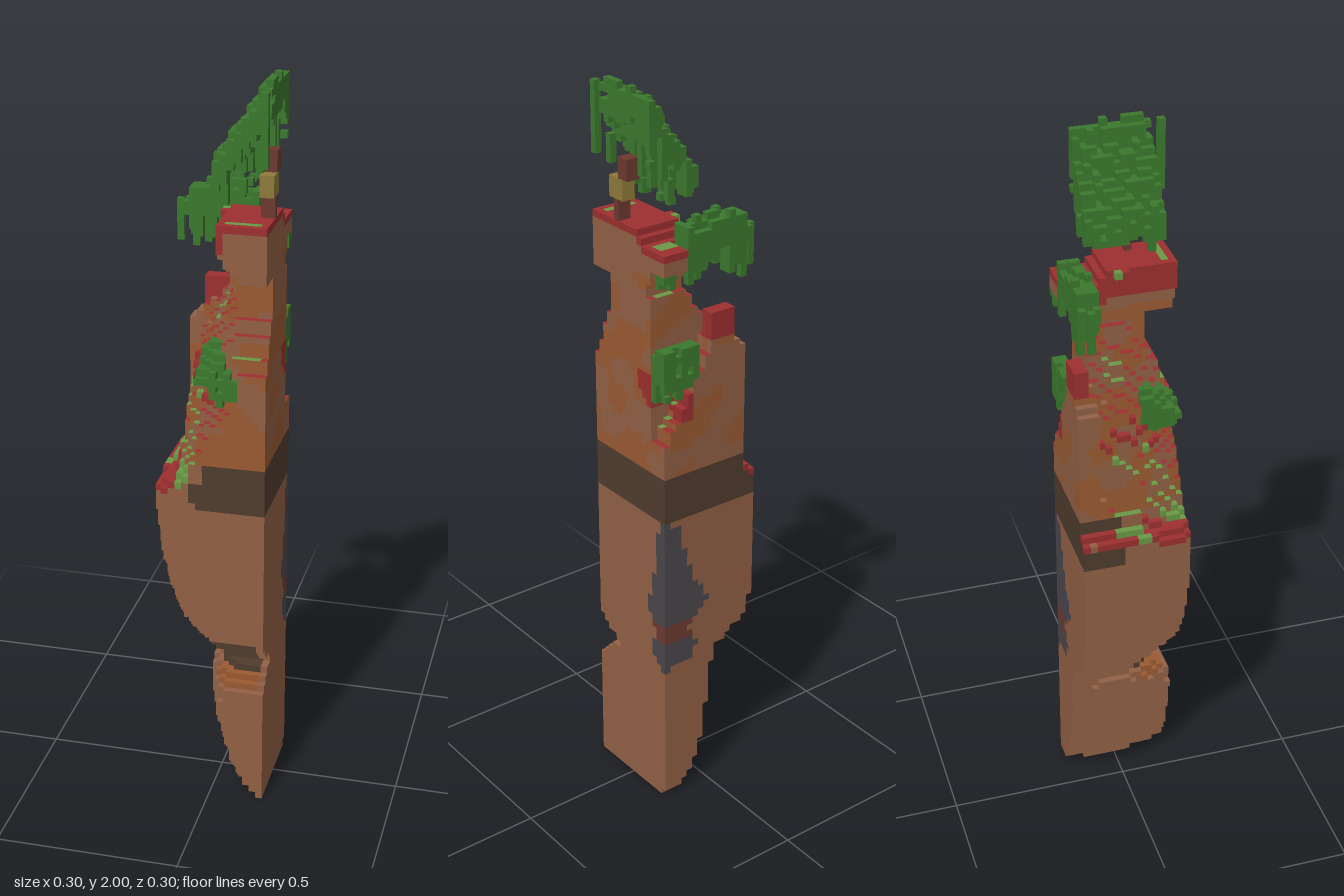
import * as THREE from 'three';

const N = 16, H = 108, S = 2 / H, HALF = N * S / 2;

const COLORS = {
  brownRock: 0x926045, orangeEarth: 0x9a5a32, darkStratum: 0x4f3c2e, greyStone: 0x4a474c,
  rustStone: 0x6c3b31, redTurf: 0x9c2f30, limeTurf: 0x699a44, foliage: 0x3b782d,
  trunkWood: 0x6c3930, oliveWood: 0x8f7a3a,
};

// Rock outline: height, then the -x boundary at the back, middle and front
const OUTLINE = [
  [0, .12, .10, .15], [.04, .08, .065, .10], [.08, .05, .03, .08], [.15, .03, .01, .06],
  [.22, .02, -.01, .04], [.30, .005, -.02, .03], [.35, 0, -.02, .05], [.38, -.01, 0, .10],
  [.41, -.02, 0, .12], [.44, -.03, -.01, .09], [.47, -.07, -.05, .03], [.50, -.135, -.10, -.01],
  [.55, -.14, -.125, -.05], [.62, -.15, -.14, -.085], [.75, -.16, -.16, -.12],
  [.87, -.16, -.16, -.135], [.925, -.16, -.16, -.135], [.955, -.12, -.12, -.07],
  [1.0, -.11, -.10, -.04], [1.1, -.11, -.09, .01], [1.15, -.11, -.08, .06], [1.2, -.11, -.07, .09],
  [1.27, -.105, -.045, .09], [1.32, -.09, -.02, .08], [1.38, -.06, .01, .09],
  [1.43, -.02, .035, .09], [1.5, .05, .05, .07], [1.56, .03, .02, .03], [1.7, .01, 0, .01],
];
// Front and back limits of the rock by height
const FRONT = [[0, .13], [.02, .16], [.32, .16], [.40, .06], [.48, .16], [1.23, .16], [1.28, .125],
  [1.35, .10], [1.40, .075], [1.495, .075], [1.505, .16], [2, .16]];
const BACK = [[0, -.11], [.02, -.16], [1.2, -.16], [1.35, -.11], [1.44, -.10], [1.5, -.08], [1.56, -.10], [2, -.10]];
// Spread of the grey vein from the back corner
const VEIN = [[.41, 0], [.43, .045], [.47, .06], [.53, .045], [.6, .078], [.67, .055], [.75, .042], [.85, .03], [.87, 0]];
// Patches of lime turf: x from, x to, z from, z to
const LIME = [[-.13, -.07, -.055, .025], [-.15, -.128, -.005, .035], [-.092, -.035, .035, .15], [-.02, .02, -.055, 0],
  [.07, .13, -.112, -.07], [.035, .13, .105, .13]];

function lerpTable(table, y, col = 1) {
  let k = 0;
  while (k < table.length - 2 && table[k + 1][0] < y) k++;
  const a = table[k], b = table[k + 1];
  const t = Math.min(1, Math.max(0, (y - a[0]) / (b[0] - a[0])));
  return a[col] + (b[col] - a[col]) * t;
}

function hash(a, b, c = 0) {
  const h = Math.sin(a * 127.1 + b * 311.7 + c * 74.7) * 43758.5453;
  return h - Math.floor(h);
}

const wave = (x, y, z) => Math.sin(x * 31 + y * 17) + Math.sin(z * 37 - y * 23 + 1) + Math.sin((x + z) * 22 + y * 41);

function isRock(x, y, z) {
  // Back corner of the summit cap
  if (z < -.08 && x > .065 && y > 1.555) return y < 1.61;
  if (y > 1.645 + Math.min(0, z + .02) * .7) return false;
  // Back ridge with a small peak, falling toward the +x corner
  if (z < -.09 && y > 1.0 && y < 1.5) {
    if (x > -.065 && x < .0 && z < -.11) return y < 1.43;
    return x > -.11 && y < 1.38 - Math.abs(x + .03) * (x > -.03 ? 1.7 : 1.0);
  }
  if (z > lerpTable(FRONT, y) || z < lerpTable(BACK, y)) return false;
  const t = z / HALF, mid = lerpTable(OUTLINE, y, 2);
  const end = lerpTable(OUTLINE, y, t < 0 ? 1 : 3);
  return x > mid + (end - mid) * Math.pow(Math.abs(t), 1.3);
}

function rockColor(x, y, z) {
  const vein = (.148 - x) / 2.2 + (z + .148);
  if (vein < lerpTable(VEIN, y)) return y > .5 && y < .56 ? 'rustStone' : 'greyStone';
  const bandEnd = y < .94 ? (y < .885 ? -.03 : -.05) : -.01;
  if (y > .865 && y < 1.005 && (x > bandEnd || z < -.03)) return 'darkStratum';
  if (y > .365 && y < .475 && z > .03 && x < .135) return 'darkStratum';
  if (y > .33 && y < .365 && z > .05 && x < .135) return 'orangeEarth';
  // Red soil around the back bush
  if (x > .05 && z < -.04 && y > 1.27 + (z + .04) * .8 - .05 && y < 1.27) return 'redTurf';
  const earth = z < -.13 ? .9 : -.3;
  if (y > 1.0 && y < 1.54 && wave(x, y, z) > Math.min(.5, (y - 1.2) * 3) + earth) return 'orangeEarth';
  return 'brownRock';
}

// Leaves, hanging vines and stem of the plants
function plantColor(x, y, z, i, k, j) {
  const r = hash(i, k);
  // Upper tree: stem, then a half dome rising toward +x
  if (y > 1.64) {
    if (x > .11) {
      if (y < 1.70 && z > .03 && z < .055) return 'trunkWood';
      if (y > 1.70 && y < 1.765 && z > .025 && z < .08) return 'oliveWood';
      if (y > 1.765 && y < 1.82 && z > .0 && z < .04) return 'trunkWood';
      if (x > .13 && z > .13 && y > 1.8 && y < 1.985) return 'foliage';
    }
    if (y > 1.68 && x > .0 && z > -.10 && z < .112) {
      const top = Math.min(2, 1.80 + x * 1.5) - Math.max(0, Math.abs(z - .01) - .06) * .6 - (r > .7 ? S : 0);
      const rim = x < .06 || z > .09 || z < -.07;
      const drop = rim ? (r > .55 ? .17 : .08) : (r > .85 ? .19 : .10);
      const low = Math.max(1.69 + hash(k, i) * .05, top - drop);
      if (y > low && y < top && hash(i, j, k) > .1) return 'foliage';
    }
  }
  // Lower tree at the back edge
  if (y > 1.49 && y < 1.68 && z < -.085 && x < .07) {
    const low = r > .72 ? 1.50 + hash(k, i) * .06 : 1.595;
    const top = 1.66 - (x < -.11 ? 2 * S : 0) - (r < .25 ? S : 0) + (r > .85 ? S : 0);
    if (y > low && y < top && (x > -.13 || r > .4)) return 'foliage';
  }
  // Vines under the summit cap
  if (x > .07 && z < -.105 && r > .5 && y > 1.5 + hash(k, i) * .04 && y < 1.56) return 'foliage';
  // Bush on the back corner
  if (x > .045 && z < -.065 && y > 1.15 && y < 1.36 - Math.max(0, z + .12) * 1.2) {
    if (y > 1.2 + r * .05 && hash(i, j, k) > .12) return 'foliage';
  }
  // Bush on the front slope
  if (z > .04 && x > -.035 && x < .12) {
    const low = 1.12 + Math.abs(x - .06) * .9 + r * .03;
    const top = 1.33 - Math.abs(x - .02) * .6 - Math.max(0, z - .06) * .8;
    if (y > low && y < top && hash(i, j, k) > .06) return 'foliage';
  }
  return null;
}

const FACES = [
  { n: [1, 0, 0], c: [[1, 0, 0], [1, 1, 0], [1, 1, 1], [1, 0, 1]] },
  { n: [-1, 0, 0], c: [[0, 0, 1], [0, 1, 1], [0, 1, 0], [0, 0, 0]] },
  { n: [0, 1, 0], c: [[0, 1, 0], [0, 1, 1], [1, 1, 1], [1, 1, 0]] },
  { n: [0, -1, 0], c: [[0, 0, 1], [0, 0, 0], [1, 0, 0], [1, 0, 1]] },
  { n: [0, 0, 1], c: [[0, 0, 1], [1, 0, 1], [1, 1, 1], [0, 1, 1]] },
  { n: [0, 0, -1], c: [[1, 0, 0], [0, 0, 0], [0, 1, 0], [1, 1, 0]] },
];

export function createModel() {
  const group = new THREE.Group();
  group.name = 'floatingIslandSlice';
  const cells = new Map();
  const key = (i, j, k) => (i < 0 || j < 0 || k < 0 || i >= N || k >= N ? -1 : (j * N + k) * N + i);
  const each = (fn) => {
    for (let j = 0; j < H; j++) for (let k = 0; k < N; k++) for (let i = 0; i < N; i++)
      fn(i, j, k, (i + .5) * S - HALF, (j + .5) * S, (k + .5) * S - HALF);
  };

  // Fill the block grid
  each((i, j, k, x, y, z) => {
    const color = isRock(x, y, z) ? rockColor(x, y, z) : plantColor(x, y, z, i, k, j);
    if (color) cells.set(key(i, j, k), color);
  });

  // Turf: whole blocks on the flat ledges, top faces only on steep ground
  const turf = new Map();
  each((i, j, k, x, y, z) => {
    const id = key(i, j, k);
    if (y < .87 || !isRock(x, y, z) || isRock(x, y + S, z)) return;
    const peak = y > 1.37 && y < 1.45 && z < -.11;
    const lime = LIME.some(([x0, x1, z0, z1]) => x > x0 && x < x1 && z > z0 && z < z1);
    const bare = z < -.05 && x < -.03 && hash(i, k) > .6;
    const color = lime ? 'limeTurf' : bare && !peak ? 'brownRock' : 'redTurf';
    turf.set(id, color);
    if (y < .98 || (y > 1.15 && y < 1.26 && x < 0) || peak || y > 1.54) cells.set(id, color);
    if (peak) for (let d = 1; d < 4; d++) cells.set(key(i, j - d, k), 'redTurf');
    if (y > 1.55 && x < .04) for (let d = 1; d < 4; d++) if (cells.has(key(i, j - d, k))) cells.set(key(i, j - d, k), 'redTurf');
  });

  // Collect the exposed faces of each colour
  const sheets = {};
  each((i, j, k) => {
    const id = key(i, j, k);
    if (!cells.has(id)) return;
    for (const { n, c } of FACES) {
      if (cells.has(key(i + n[0], j + n[1], k + n[2]))) continue;
      const color = n[1] === 1 && turf.has(id) ? turf.get(id) : cells.get(id);
      const sheet = sheets[color] ??= { pos: [], nor: [], idx: [] };
      const base = sheet.pos.length / 3;
      for (const p of c) {
        sheet.pos.push((i + p[0]) * S - HALF, (j + p[1]) * S, (k + p[2]) * S - HALF);
        sheet.nor.push(...n);
      }
      sheet.idx.push(base, base + 1, base + 2, base, base + 2, base + 3);
    }
  });

  for (const [name, { pos, nor, idx }] of Object.entries(sheets)) {
    const geometry = new THREE.BufferGeometry();
    geometry.setAttribute('position', new THREE.Float32BufferAttribute(pos, 3));
    geometry.setAttribute('normal', new THREE.Float32BufferAttribute(nor, 3));
    geometry.setIndex(idx);
    const material = new THREE.MeshStandardMaterial({ color: COLORS[name] });
    material.name = name;
    const mesh = new THREE.Mesh(geometry, material);
    mesh.name = name;
    group.add(mesh);
  }
  return group;
}
